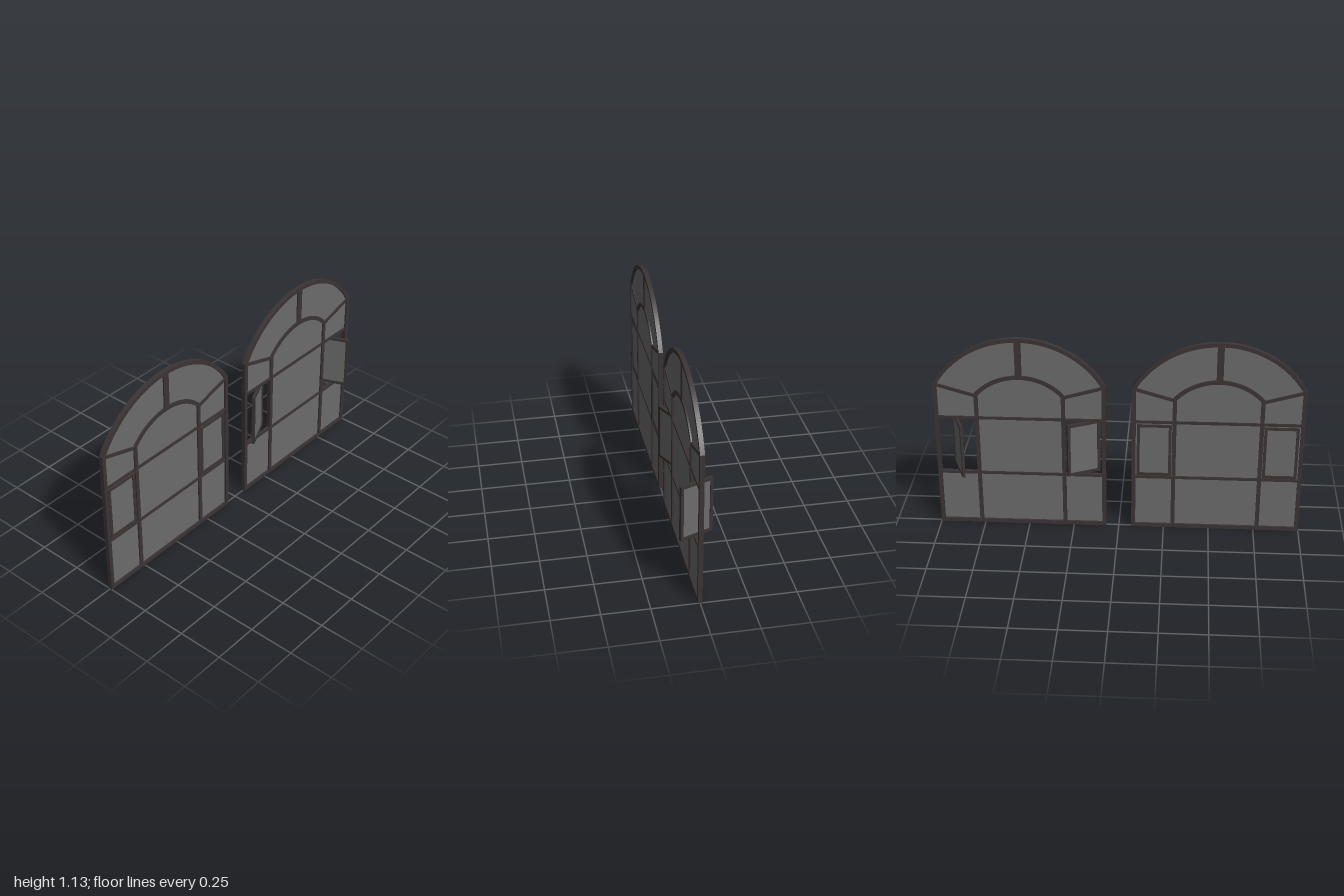
import * as THREE from 'three';

const frameMat = new THREE.MeshStandardMaterial({ color: 0x3b3435 });
frameMat.name = 'dark frame';
const glassMat = new THREE.MeshStandardMaterial({ color: 0x6c6c6c });
glassMat.name = 'smoked glass';

const HALF = 0.465;       // half width of one window
const BAR = 0.022;        // width of posts and arches
const ARC_Y = 0.5946;     // centre height of the outer arch
const ARC_R = 0.5354;     // radius of the outer arch
const MULLION_X = 0.235;
const SASH = { x: 0.343, y0: 0.328, y1: 0.641, half: 0.094 };
const RAIL_LOW = 0.318, RAIL_HIGH = 0.657;

function add(group, name, geometry, material) {
  const mesh = new THREE.Mesh(geometry, material);
  mesh.name = name;
  group.add(mesh);
  return mesh;
}

// Extruded plate centred on z = 0
function plate(shape, depth) {
  const g = new THREE.ExtrudeGeometry(shape, { depth, bevelEnabled: false, curveSegments: 32 });
  return g.translate(0, 0, -depth / 2);
}

// Arched outline, shrunk inwards by an inset
function archOutline(inset, Type = THREE.Shape) {
  const x = HALF - inset, r = ARC_R - inset;
  const a = Math.acos(x / r);
  const s = new Type();
  s.moveTo(-x, inset);
  s.lineTo(x, inset);
  s.lineTo(x, ARC_Y + r * Math.sin(a));
  s.absarc(0, ARC_Y, r, a, Math.PI - a, false);
  s.closePath();
  return s;
}

function rect(x0, y0, x1, y1, Type = THREE.Shape) {
  return new Type([[x0, y0], [x1, y0], [x1, y1], [x0, y1]].map(p => new THREE.Vector2(...p)));
}

// Straight bar between two points
function bar(group, name, x0, y0, x1, y1, width, depth) {
  const g = new THREE.BoxGeometry(Math.hypot(x1 - x0, y1 - y0), width, depth);
  const mesh = add(group, name, g, frameMat);
  mesh.position.set((x0 + x1) / 2, (y0 + y1) / 2, 0);
  mesh.rotation.z = Math.atan2(y1 - y0, x1 - x0);
}

// Pivoting sash with its own frame and pane
function makeSash(name, x, angle) {
  const sash = new THREE.Group();
  sash.name = name;
  const h = (SASH.y1 - SASH.y0) / 2, w = SASH.half, t = 0.016;
  const outline = rect(-w, -h, w, h);
  outline.holes.push(rect(-w + t, -h + t, w - t, h - t, THREE.Path));
  add(sash, 'sashFrame', plate(outline, 0.016), frameMat);
  add(sash, 'sashPane', new THREE.BoxGeometry(2 * (w - t), 2 * (h - t), 0.006), glassMat);
  sash.position.set(x, (SASH.y0 + SASH.y1) / 2, 0);
  sash.rotation.y = angle;
  return sash;
}

// One arched window; open sashes leave a hole in the fixed glass
function makeWindow(name, x, leftAngle, rightAngle) {
  const win = new THREE.Group();
  win.name = name;
  win.position.x = x;

  // Outer frame
  const outer = archOutline(0);
  outer.holes.push(archOutline(BAR, THREE.Path));
  add(win, 'outerFrame', plate(outer, 0.024), frameMat);

  // Fixed glazing
  const glass = archOutline(0.01);
  for (const [side, angle] of [[-1, leftAngle], [1, rightAngle]]) {
    if (!angle) continue;
    const a = side * 0.445, b = side * MULLION_X;
    glass.holes.push(rect(Math.min(a, b), RAIL_LOW, Math.max(a, b), RAIL_HIGH, THREE.Path));
  }
  add(win, 'fixedGlass', plate(glass, 0.005), glassMat);

  // Inner arch
  const r0 = 0.301, r1 = 0.323, cy = 0.591, a = Math.acos(MULLION_X / 0.312);
  const arch = new THREE.Shape();
  arch.absarc(0, cy, r1, a, Math.PI - a, false);
  arch.absarc(0, cy, r0, Math.PI - a, a, true);
  arch.closePath();
  add(win, 'innerArch', plate(arch, 0.021), frameMat);

  // Mullions, slanted bars and crown bar
  for (const s of [-1, 1]) {
    bar(win, 'mullion', s * MULLION_X, 0.005, s * MULLION_X, 0.798, BAR, 0.022);
    bar(win, 'slantedBar', s * 0.455, 0.853, s * MULLION_X, 0.789, 0.018, 0.019);
  }
  bar(win, 'crownBar', 0, 0.9, 0, 1.115, 0.036, 0.02);

  // Cross rails
  for (const y of [RAIL_LOW, RAIL_HIGH]) bar(win, 'crossRail', -0.455, y, 0.455, y, 0.016, 0.018);

  // Pivoting sashes
  win.add(makeSash('rightSash', -SASH.x, leftAngle), makeSash('leftSash', SASH.x, rightAngle));
  return win;
}

export function createModel() {
  const model = new THREE.Group();
  model.name = 'archedWindows';
  const deg = Math.PI / 180;
  model.add(makeWindow('closedWindow', -0.535, 0, 0));
  model.add(makeWindow('openWindow', 0.535, 25 * deg, -68 * deg));
  return model;
}
